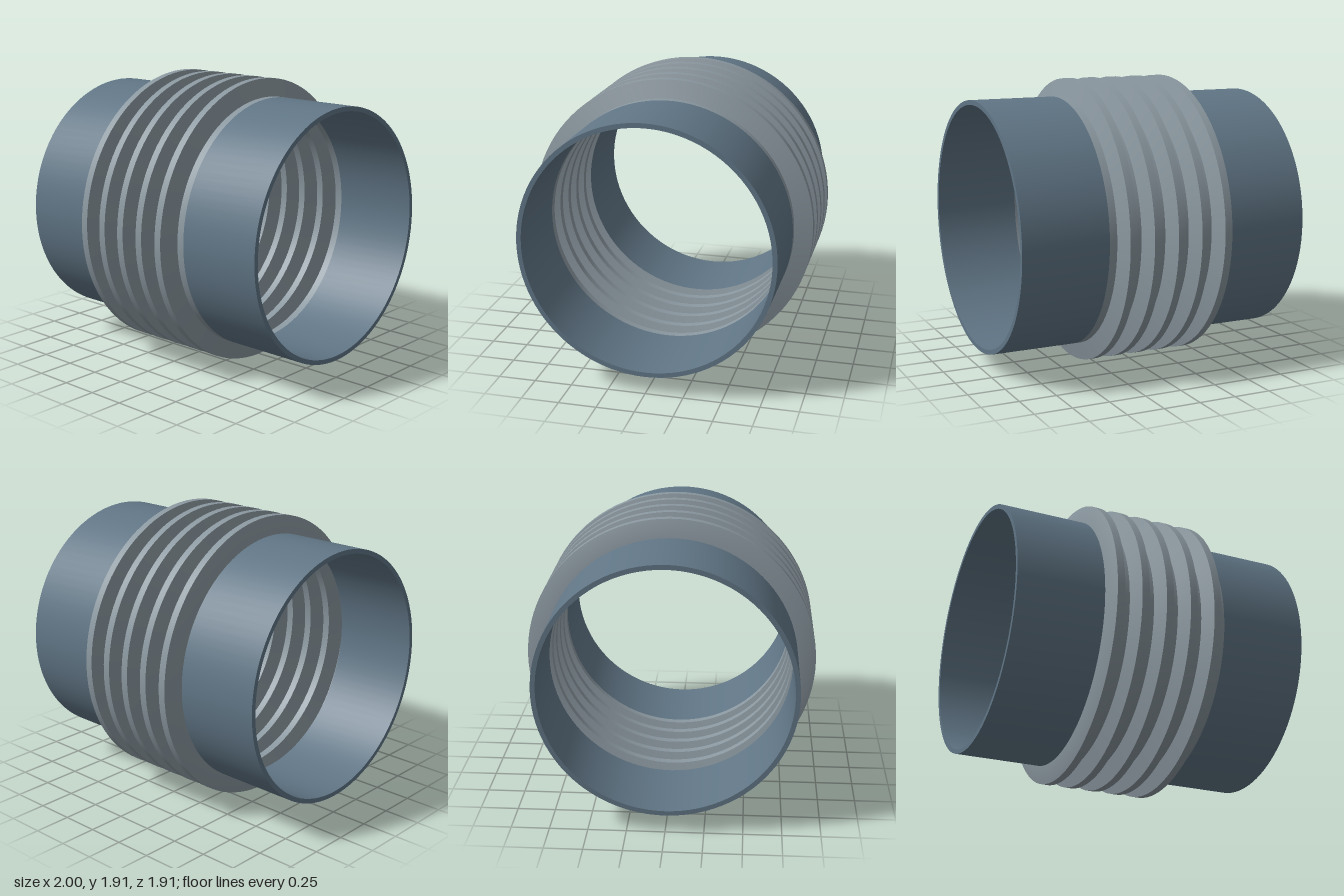
import * as THREE from 'three';
import { toCreasedNormals } from 'three/addons/utils/BufferGeometryUtils.js';

const CENTER_Y = 0.957;
const R_PIPE = 0.838;   // outer radius of pipe and bellows valleys
const R_RIB = 0.957;    // outer radius of bellows crests
const WALL = 0.031;
const HALF = 0.42;      // half length of the bellows
const RIBS = 5;

// Turns an outer profile of [x, radius] into a walled tube lying along x
function walledTube(name, profile, material) {
  const outer = profile.map(([x, r]) => new THREE.Vector2(r, x));
  const inner = profile.map(([x, r]) => new THREE.Vector2(r - WALL, x)).reverse();
  const lathe = new THREE.LatheGeometry([...outer, ...inner, outer[0].clone()], 96);
  const mesh = new THREE.Mesh(toCreasedNormals(lathe, 0.4), material);
  mesh.name = name;
  mesh.rotation.z = -Math.PI / 2;
  mesh.position.y = CENTER_Y;
  return mesh;
}

export function createModel() {
  const group = new THREE.Group();
  group.name = 'bellowsCoupling';
  const pipeMaterial = new THREE.MeshStandardMaterial({ color: 0x607585 });
  const bellowsMaterial = new THREE.MeshStandardMaterial({ color: 0x8a979f });

  // Plain pipe ends
  group.add(walledTube('leftPipe', [[HALF, R_PIPE], [1, R_PIPE]], pipeMaterial));
  group.add(walledTube('rightPipe', [[-1, R_PIPE], [-HALF, R_PIPE]], pipeMaterial));

  // Corrugated middle: each pitch is a rise, a flat crest, a fall and a flat valley
  const pitch = (2 * HALF) / RIBS;
  const profile = [];
  for (let i = 0; i < RIBS; i++) {
    const x = -HALF + i * pitch;
    profile.push(
      [x, R_PIPE],
      [x + 0.2 * pitch, R_RIB],
      [x + 0.5 * pitch, R_RIB],
      [x + 0.7 * pitch, R_PIPE]
    );
  }
  profile.push([HALF, R_PIPE]);
  group.add(walledTube('bellows', profile, bellowsMaterial));

  return group;
}
